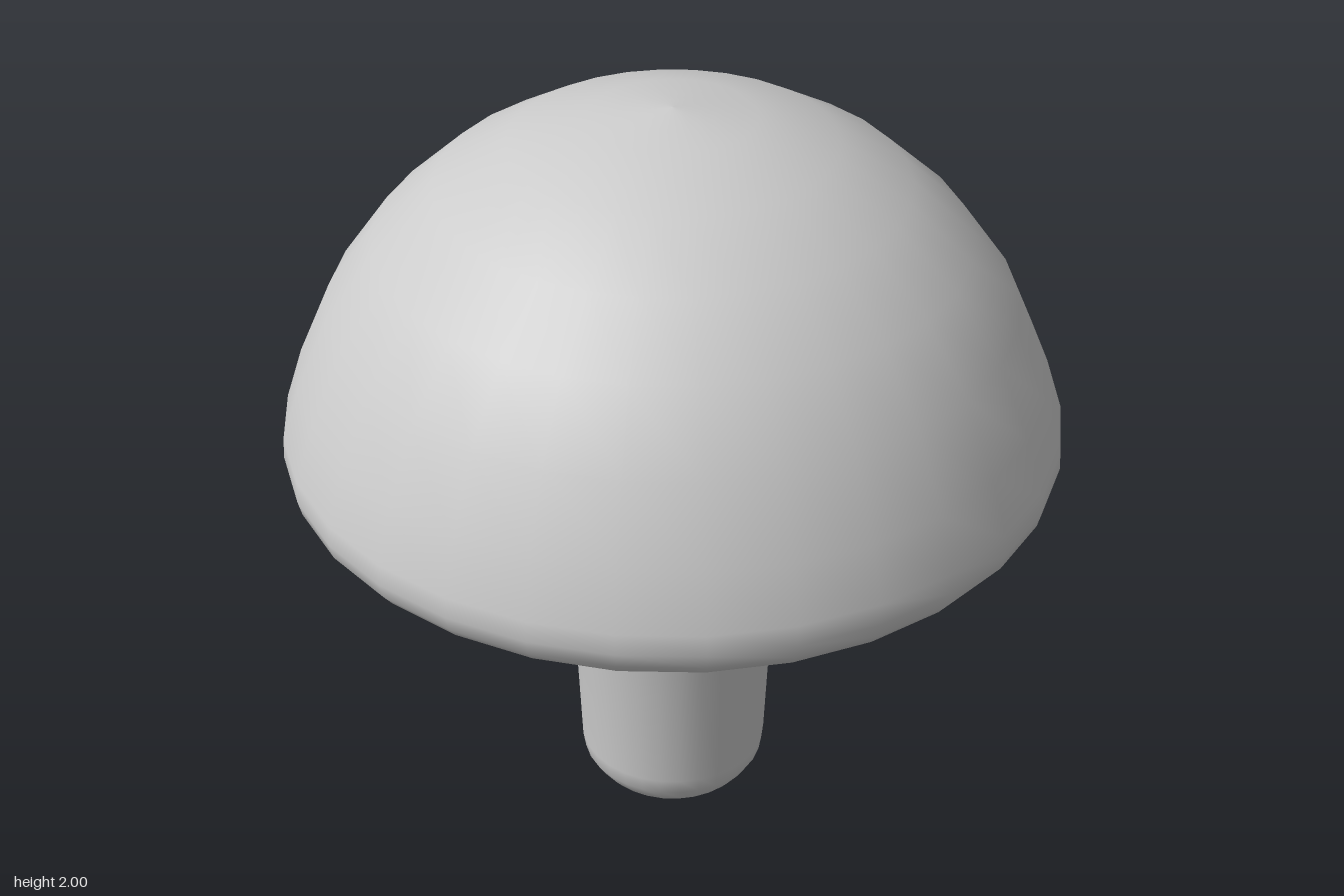
import * as THREE from 'three';

const SIDES = 30;
const material = new THREE.MeshStandardMaterial({ color: 0xcccccc });

function addMesh(parent, name, geometry) {
  const mesh = new THREE.Mesh(geometry, material);
  mesh.name = name;
  parent.add(mesh);
  return mesh;
}

// Smooth turned surface; the profile runs from bottom to top
function turned(parent, name, profile) {
  const points = profile.map(([r, y]) => new THREE.Vector2(r, y));
  return addMesh(parent, name, new THREE.LatheGeometry(points, SIDES));
}

// Flat underside with a crisp rim, its corners aligned with the turned parts
function underside(parent, name, outer, y, inner = 0) {
  const geometry = inner
    ? new THREE.RingGeometry(inner, outer, SIDES, 1, Math.PI / 2)
    : new THREE.CircleGeometry(outer, SIDES, Math.PI / 2);
  geometry.rotateX(Math.PI / 2);
  geometry.translate(0, y, 0);
  return addMesh(parent, name, geometry);
}

export function createModel() {
  const model = new THREE.Group();
  model.name = 'mushroom';

  // Domed cap: rounded rim, then a spherical arc up to the pole
  const cap = new THREE.Group();
  cap.name = 'cap';
  const capProfile = [[0.935, 1.03], [0.965, 1.043], [0.99, 1.075], [1, 1.115], [0.997, 1.17]];
  for (let deg = 72; deg >= 0; deg -= 12) {
    const a = THREE.MathUtils.degToRad(deg);
    capProfile.push([Math.sin(a), 1 + Math.cos(a)]);
  }
  turned(cap, 'capDome', capProfile);
  underside(cap, 'capUnderside', 0.935, 1.03, 0.3);

  // Stem: rounded foot, flaring toward the cap
  const stem = new THREE.Group();
  stem.name = 'stem';
  turned(stem, 'stemSide', [
    [0.21, 0], [0.225, 0.018], [0.248, 0.055], [0.255, 0.1],
    [0.268, 0.42], [0.31, 0.78], [0.342, 1.03],
  ]);
  underside(stem, 'stemBase', 0.21, 0);

  model.add(cap, stem);
  return model;
}
